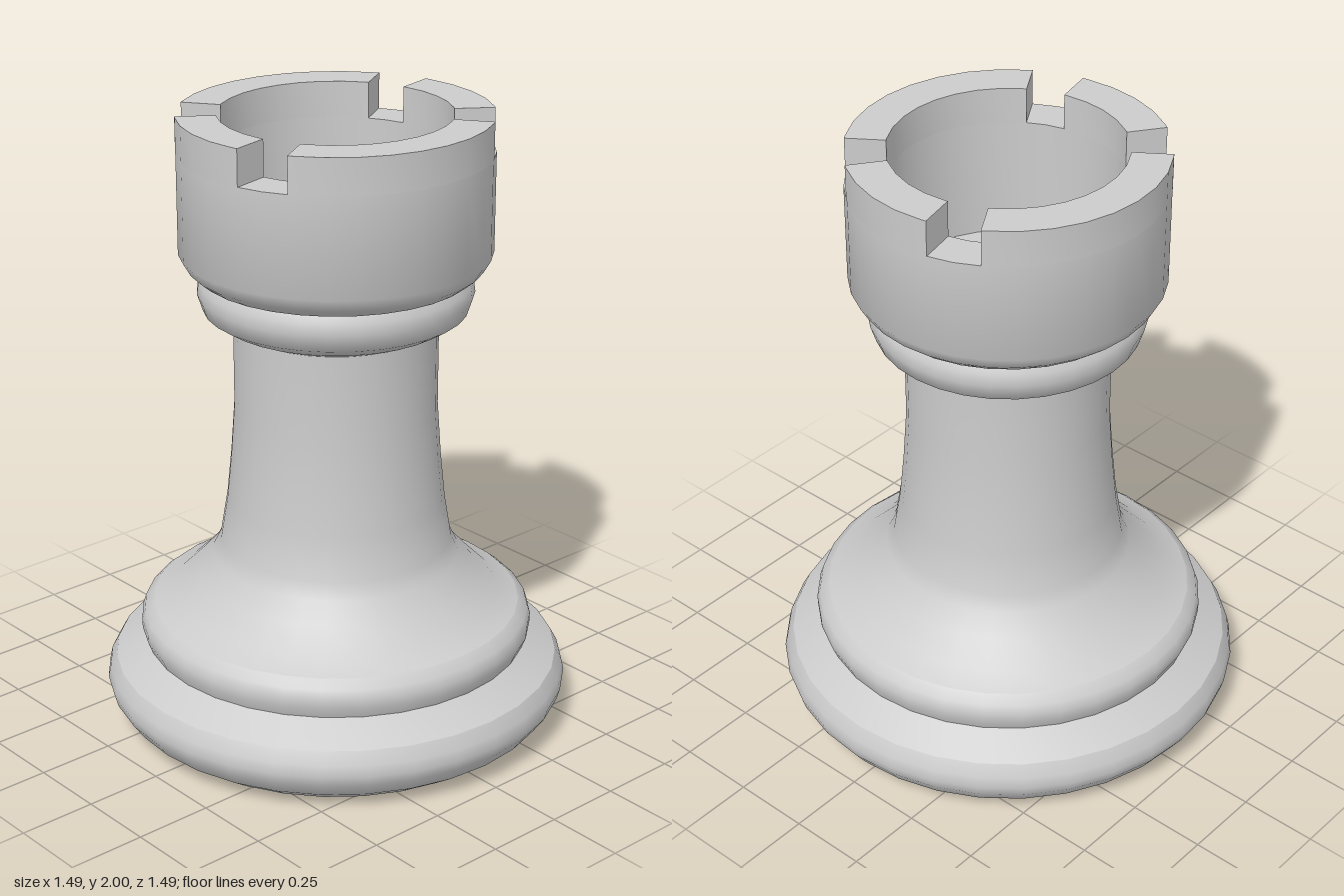
import * as THREE from 'three';
import { toCreasedNormals } from 'three/addons/utils/BufferGeometryUtils.js';

const SIDES = 32;
const STEP = (Math.PI * 2) / SIDES;
const OUTER = 0.485, INNER = 0.36;
const NOTCH_Y = 1.885, TOP_Y = 2;

// Profiles as [radius, height]; a sharp edge separates one part from the next
const profiles = {
  foot: [[0.62, 0], [0.70, 0.055], [0.735, 0.105], [0.745, 0.14], [0.737, 0.175], [0.715, 0.215]],
  footSlope: [[0.715, 0.215], [0.615, 0.275]],
  baseRing: [[0.615, 0.275], [0.629, 0.31], [0.63, 0.34], [0.62, 0.37], [0.59, 0.395]],
  shaft: [[0.59, 0.395], [0.52, 0.43], [0.45, 0.5], [0.395, 0.56], [0.37, 0.61], [0.347, 0.75],
    [0.332, 0.9], [0.32, 1.07], [0.32, 1.335]],
  neckRing: [[0.32, 1.335], [0.365, 1.355], [0.412, 1.385], [0.43, 1.44], [0.425, 1.475], [0.41, 1.5]],
  crown: [[0.41, 1.5], [0.43, 1.503], [0.462, 1.53], [OUTER, 1.57], [OUTER, NOTCH_Y],
    [INNER, NOTCH_Y], [INNER, 1.5], [0, 1.5]],
};

// One battlement block between two angles, its corners on the crown's own facets
function merlonGeometry(from, to) {
  const angles = [from];
  for (let i = Math.ceil(from / STEP); i * STEP < to; i++) angles.push(i * STEP);
  angles.push(to);
  const at = (r) => (a) => new THREE.Vector2(r * Math.cos(a), r * Math.sin(a));
  const shape = new THREE.Shape([...angles.map(at(OUTER)), ...angles.reverse().map(at(INNER))]);
  const geo = new THREE.ExtrudeGeometry(shape, { depth: TOP_Y - NOTCH_Y, bevelEnabled: false });
  geo.rotateX(-Math.PI / 2).translate(0, NOTCH_Y, 0);
  return geo;
}

export function createModel() {
  const group = new THREE.Group();
  const material = new THREE.MeshStandardMaterial({ color: 0xcccccc });
  const add = (name, geo) => {
    const mesh = new THREE.Mesh(toCreasedNormals(geo, 0.75), material);
    mesh.name = name;
    group.add(mesh);
  };

  // Turned body
  for (const [name, points] of Object.entries(profiles)) {
    add(name, new THREE.LatheGeometry(points.map(([r, y]) => new THREE.Vector2(r, y)), SIDES));
  }

  // Flat underside
  add('underside', new THREE.CircleGeometry(0.62, SIDES).rotateX(Math.PI / 2));

  // Battlements between four unevenly spaced notches
  const notches = [22.5, 135, 202.5, 315, 382.5];
  const half = 9.6;
  for (let i = 0; i < 4; i++) {
    const from = THREE.MathUtils.degToRad(notches[i] + half);
    const to = THREE.MathUtils.degToRad(notches[i + 1] - half);
    add('battlement' + (i + 1), merlonGeometry(from, to));
  }
  return group;
}
